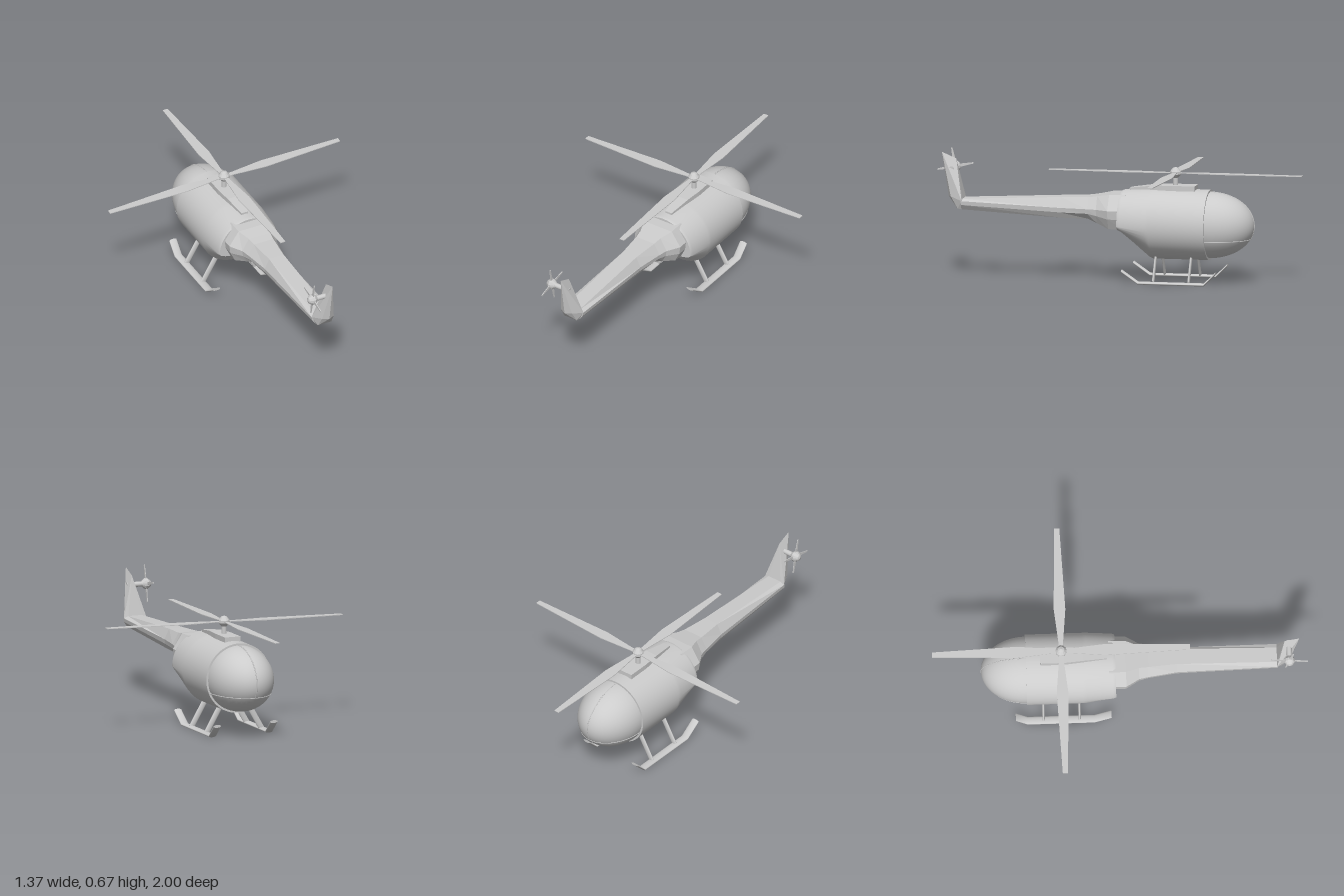
import * as THREE from 'three';
import { ConvexGeometry } from 'three/addons/geometries/ConvexGeometry.js';

const smooth = new THREE.MeshStandardMaterial({ color: 0xcccccc, side: THREE.DoubleSide });
const faceted = new THREE.MeshStandardMaterial({ color: 0xcccccc, flatShading: true, side: THREE.DoubleSide });

function add(parent, name, geometry, material = smooth) {
  const mesh = new THREE.Mesh(geometry, material);
  mesh.name = name;
  parent.add(mesh);
  return mesh;
}

// Skin between closed rings of [x, y, z], ordered by rising z, counter-clockwise seen from +z
function loft(rings) {
  const n = rings[0].length, last = rings.length - 1;
  const pos = rings.flat(2), index = [];
  for (let i = 0; i < last; i++) {
    for (let j = 0; j < n; j++) {
      const a = i * n + j, b = i * n + (j + 1) % n;
      index.push(a, b, b + n, a, b + n, a + n);
    }
  }
  // End caps have their own vertices so the rims stay sharp
  for (const [ring, flip] of [[rings[0], true], [rings[last], false]]) {
    const s = pos.length / 3;
    pos.push(...ring.flat());
    for (let j = 1; j < n - 1; j++) index.push(s, s + (flip ? j + 1 : j), s + (flip ? j : j + 1));
  }
  const g = new THREE.BufferGeometry();
  g.setAttribute('position', new THREE.Float32BufferAttribute(pos, 3));
  g.setIndex(index);
  g.computeVertexNormals();
  return g;
}

function ellipseRing(n, fn) {
  return Array.from({ length: n }, (_, i) => {
    const t = (i / n) * Math.PI * 2;
    return fn(Math.cos(t), Math.sin(t));
  });
}

// Four flat blades around a faceted hub, spinning about local y
function makeRotor(name, length, width, hubSize) {
  const rotor = new THREE.Group();
  rotor.name = name;
  const s = new THREE.Shape([
    [0, -0.2], [0.07, -0.2], [0.34, -0.5], [1, -0.23],
    [1, 0.23], [0.34, 0.5], [0.07, 0.2], [0, 0.2],
  ].map(([x, y]) => new THREE.Vector2(x * length, y * width)));
  const blade = new THREE.ExtrudeGeometry(s, { depth: 0.004, bevelEnabled: false });
  blade.translate(0, 0, -0.002).rotateX(-Math.PI / 2);
  for (let i = 0; i < 4; i++) add(rotor, 'blade', blade, faceted).rotation.y = i * Math.PI / 2;
  const profile = [[0, -0.9], [0.5, -0.85], [1, -0.25], [1, 0.25], [0.55, 0.85], [0, 1.05]];
  add(rotor, 'hub', new THREE.LatheGeometry(
    profile.map(([x, y]) => new THREE.Vector2(x * hubSize, y * hubSize)), 12), faceted);
  return rotor;
}

export function createModel() {
  const root = new THREE.Group();
  root.name = 'helicopter';
  const cy = 0.3125, r = 0.1875;

  // Cabin: a drum whose underside sweeps up toward the tail
  const cabin = [[-0.5, 1, 1], [-0.2, 1, 1], [-0.18, 1, 0.95], [-0.04, 0.95, 0.25], [-0.025, 0.92, 0.2]];
  add(root, 'cabin', loft(cabin.map(([z, k, low]) => ellipseRing(48, (c, s) =>
    [c * r * k, cy + s * r * (s < 0 ? low : k), z]))));

  // Nose bubble and its window frames
  const nr = 0.177, nl = 0.24;
  const nose = new THREE.SphereGeometry(1, 40, 16, 0, Math.PI * 2, 0, Math.PI / 2);
  nose.rotateX(-Math.PI / 2).scale(nr, nr, nl).translate(0, cy, -0.5);
  add(root, 'nose', nose);
  const frame = (name, fn) => {
    const pts = Array.from({ length: 21 }, (_, i) => new THREE.Vector3(...fn(i / 20)));
    add(root, name, new THREE.TubeGeometry(new THREE.CatmullRomCurve3(pts), 40, 0.003, 5));
  };
  frame('windowDivider', t => {
    const a = Math.PI / 2 - t * (Math.PI / 2 + 0.42);
    return [0, cy + nr * Math.sin(a), -0.5 - nl * Math.cos(a)];
  });
  const drop = -0.072, k = Math.sqrt(1 - (drop / nr) ** 2);
  frame('windowSill', t => [
    nr * k * Math.cos(t * Math.PI), cy + drop, -0.5 - nl * k * Math.sin(t * Math.PI)]);

  // Roof fairing and mast
  add(root, 'roofFairing', loft([
    [-0.425, 0.045, 0.522], [-0.3, 0.045, 0.522], [-0.2, 0.036, 0.52], [-0.07, 0.02, 0.503],
  ].map(([z, w, top]) => [[w, 0.46, z], [w, top, z], [-w, top, z], [-w, 0.46, z]])), faceted);
  const mast = add(root, 'mast', new THREE.CylinderGeometry(0.014, 0.014, 0.09, 16));
  mast.position.set(0, 0.545, -0.313);

  // Main rotor, leaning slightly to one side
  const rotor = makeRotor('mainRotor', 0.687, 0.062, 0.03);
  rotor.position.set(0, 0.587, -0.313);
  rotor.rotation.z = 0.022;
  root.add(rotor);

  // Tail boom with its wide collar: z, half width, top, widest height, bottom, bottom half width
  add(root, 'tailBoom', loft([
    [-0.06, 0.143, 0.472, 0.39, 0.285, 0.11], [0.03, 0.143, 0.47, 0.39, 0.29, 0.11],
    [0.1, 0.102, 0.458, 0.39, 0.315, 0.075], [0.15, 0.092, 0.45, 0.39, 0.335, 0.06],
    [0.3, 0.07, 0.445, 0.39, 0.335, 0.05], [0.84, 0.065, 0.42, 0.41, 0.364, 0.045],
  ].map(([z, w, top, mid, bot, bw]) => {
    const half = [[bw, bot], [w * 0.96, mid * 0.55 + bot * 0.45], [w, mid], [w * 0.62, top]];
    return [...half.map(([x, y]) => [x, y, z]), ...half.reverse().map(([x, y]) => [-x, y, z])];
  })), faceted);

  // Tail fin, narrowing to an edge at the top
  const fin = [[0, 0.63, 0.877], [0, 0.663, 0.955], [0, 0.43, 0.918]];
  for (const s of [-1, 1]) {
    fin.push([s * 0.065, 0.41, 0.835], [s * 0.04, 0.42, 0.835], [s * 0.045, 0.364, 0.835],
      [s * 0.04, 0.366, 0.862], [s * 0.035, 0.43, 0.9]);
  }
  add(root, 'tailFin', new ConvexGeometry(fin.map(p => new THREE.Vector3(...p))), faceted);

  // Tail rotor on its side shaft
  const shaft = add(root, 'tailRotorShaft', new THREE.CylinderGeometry(0.014, 0.014, 0.11, 16));
  shaft.rotation.z = Math.PI / 2;
  shaft.position.set(-0.035, 0.575, 0.9);
  const tailRotor = makeRotor('tailRotor', 0.1, 0.016, 0.029);
  tailRotor.position.set(-0.092, 0.575, 0.9);
  tailRotor.rotation.set(0.2, 0, Math.PI / 2);
  root.add(tailRotor);

  // Landing gear: flattened skids with upturned ends, two struts each
  const gear = new THREE.Group();
  gear.name = 'landingGear';
  gear.position.x = -0.014;
  root.add(gear);
  for (const side of [-1, 1]) {
    const path = [[-0.56, 0.073], [-0.497, 0.011], [-0.14, 0.011], [-0.05, 0.073]];
    add(gear, 'skid', loft(path.map(([z, y]) => ellipseRing(16, (c, s) =>
      [side * 0.165 + c * 0.022, y + s * 0.008, z]))));
    for (const z of [-0.22, -0.412]) {
      const top = new THREE.Vector3(side * 0.07, 0.17, z), foot = new THREE.Vector3(side * 0.16, 0.014, z);
      const g = new THREE.CylinderGeometry(0.016, 0.016, top.distanceTo(foot), 16).scale(1, 1, 0.42);
      const strut = add(gear, 'strut', g);
      strut.position.copy(top).add(foot).multiplyScalar(0.5);
      strut.rotation.z = side * Math.atan2(0.09, 0.156);
    }
  }
  return root;
}
